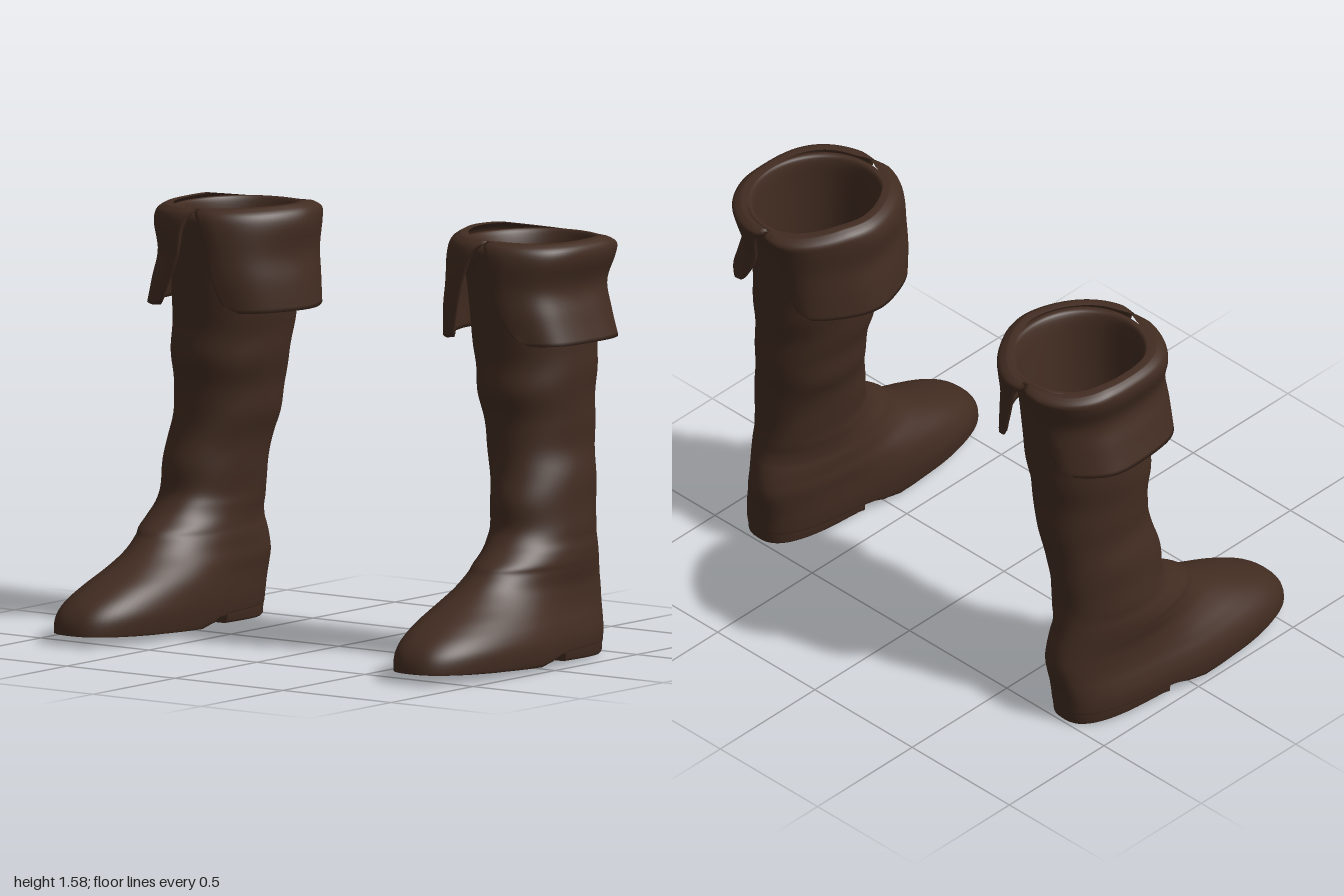
import * as THREE from 'three';
import { mergeVertices } from 'three/addons/utils/BufferGeometryUtils.js';

const leather = new THREE.MeshStandardMaterial({ color: 0x422c21 });
leather.name = 'dark brown leather';
const { smoothstep } = THREE.MathUtils;

// Cross-sections: [height, inner x, outer x, back z, front z, squareness]
const upperRows = [
  [0.00, 0.595, 0.975, -0.485, 0.595, 2.5],
  [0.04, 0.582, 0.990, -0.498, 0.608, 2.5],
  [0.10, 0.572, 0.995, -0.502, 0.592, 2.5],
  [0.15, 0.570, 0.985, -0.510, 0.545, 2.4],
  [0.20, 0.572, 0.965, -0.520, 0.455, 2.3],
  [0.25, 0.580, 0.945, -0.526, 0.340, 2.2],
  [0.30, 0.595, 0.932, -0.520, 0.240, 2.1],
  [0.35, 0.602, 0.935, -0.508, 0.165, 2],
  [0.38, 0.606, 0.938, -0.498, 0.135, 2],
  [0.42, 0.606, 0.936, -0.487, 0.075, 2],
  [0.46, 0.602, 0.930, -0.482, 0.030, 2],
  [0.51, 0.600, 0.930, -0.480, 0.000, 2],
  [0.60, 0.590, 0.925, -0.483, -0.008, 2],
  [0.70, 0.572, 0.920, -0.490, -0.035, 2],
  [0.80, 0.542, 0.905, -0.503, -0.050, 2],
  [0.90, 0.527, 0.908, -0.508, -0.050, 2],
  [1.00, 0.502, 0.915, -0.508, -0.032, 2],
  [1.10, 0.485, 0.918, -0.520, -0.042, 2],
  [1.20, 0.470, 0.918, -0.524, -0.035, 2],
  [1.40, 0.450, 0.920, -0.540, -0.020, 2],
  [1.50, 0.415, 0.935, -0.565, -0.008, 2],
];
// Rolled rim and the lining down to the insole
const liningRows = [
  [1.530, 0.405, 0.932, -0.575, -0.010, 2.1],
  [1.550, 0.425, 0.918, -0.560, -0.025, 2.1],
  [1.530, 0.450, 0.900, -0.542, -0.048, 2],
  [1.400, 0.475, 0.895, -0.520, -0.055, 2],
  [1.000, 0.527, 0.890, -0.485, -0.060, 2],
  [0.800, 0.567, 0.880, -0.480, -0.078, 2],
  [0.500, 0.625, 0.905, -0.457, -0.030, 2],
  [0.250, 0.612, 0.912, -0.495, 0.140, 2.2],
  [0.090, 0.622, 0.912, -0.480, 0.250, 2.6],
];
const cuffRows = [
  [1.195, 0.355, 0.985, -0.572, 0.030, 2.3],
  [1.300, 0.365, 0.952, -0.572, 0.040, 2.3],
  [1.400, 0.380, 0.925, -0.577, 0.040, 2.3],
  [1.500, 0.369, 0.957, -0.597, 0.036, 2.2],
  [1.550, 0.380, 0.955, -0.605, 0.020, 2.2],
  [1.573, 0.412, 0.928, -0.578, -0.008, 2.1],
];

// Smooth interpolation along a list of sections, f from 0 to 1
function sampleRows(rows, f) {
  const last = rows.length - 1;
  const i = Math.min(Math.floor(f * last), last - 1), t = f * last - i;
  const p0 = rows[Math.max(i - 1, 0)], p1 = rows[i], p2 = rows[i + 1], p3 = rows[Math.min(i + 2, last)];
  return p1.map((b, k) => {
    const m1 = (p2[k] - p0[k]) / 2, m2 = (p3[k] - b) / 2, d = p2[k] - b;
    return b + t * (m1 + t * (3 * d - 2 * m1 - m2 + t * (m1 + m2 - 2 * d)));
  });
}

// Point on a section at angle a (0 is front, a quarter turn is the outer side)
function ringPoint([y, x0, x1, zb, zf, n], a, inset = 0, scale = 1) {
  const bend = (v) => Math.sign(v) * Math.pow(Math.abs(v), 2 / n);
  const hx = ((x1 - x0) / 2 - inset) * scale, hz = ((zf - zb) / 2 - inset) * scale;
  return [(x0 + x1) / 2 + hx * bend(Math.sin(a)), y, (zb + zf) / 2 + hz * bend(Math.cos(a))];
}

// The foot is narrower at the heel than at the ball
function narrowHeel(p) {
  const s = 1 - 0.13 * smoothstep(0.1 - p[2], 0, 0.3) * (1 - smoothstep(p[1], 0.18, 0.35));
  p[0] = 0.77 + (p[0] - 0.77) * s;
  return p;
}

// Surface from a grid of points; side -1 mirrors it
function gridMesh(name, side, nu, nv, fn) {
  const pos = [], index = [];
  for (let j = 0; j <= nv; j++) {
    for (let i = 0; i <= nu; i++) {
      const [x, y, z] = fn(i, j);
      pos.push(x * side, y, z);
    }
  }
  for (let j = 0; j < nv; j++) {
    for (let i = 0; i < nu; i++) {
      const a = j * (nu + 1) + i, b = a + 1, d = a + nu + 1, c = d + 1;
      if (side > 0) index.push(a, b, c, a, c, d);
      else index.push(a, c, b, a, d, c);
    }
  }
  let geo = new THREE.BufferGeometry();
  geo.setAttribute('position', new THREE.Float32BufferAttribute(pos, 3));
  geo.setIndex(index);
  geo = mergeVertices(geo, 1e-5);
  geo.computeVertexNormals();
  const mesh = new THREE.Mesh(geo, leather);
  mesh.name = name;
  return mesh;
}

// Height of the underside: rising toe, low ball, raised arch
function soleHeight(z) {
  if (z > 0.05) return 0.02 + (z - 0.05) * 0.04;
  return 0.02 + 0.035 * smoothstep(0.05 - z, 0, 0.17);
}

function makeBoot(side) {
  const boot = new THREE.Group();
  boot.name = side > 0 ? 'leftBoot' : 'rightBoot';
  const N = 72, angle = (i) => ((i % N) / N) * Math.PI * 2;

  // Foot and shaft, with soft folds in the leather
  boot.add(gridMesh('footAndShaft', side, N, 100, (i, j) => {
    const row = sampleRows(upperRows, j / 100), a = angle(i), y = row[0];
    const fade = smoothstep(y, 0.3, 0.5) * (1 - smoothstep(y, 1.05, 1.3));
    const fold = 1 + 0.008 * fade * Math.sin(y * 30 + 2 * Math.sin(a) + 1.5 * Math.cos(2 * a));
    const p = narrowHeel(ringPoint(row, a, 0, fold));
    p[1] = Math.max(p[1], soleHeight(p[2]));
    return p;
  }));

  // Rim and lining
  const rimRows = [upperRows[upperRows.length - 1], ...liningRows];
  boot.add(gridMesh('lining', side, N, 54, (i, j) => narrowHeel(ringPoint(sampleRows(rimRows, j / 54), angle(i)))));
  boot.add(gridMesh('insole', side, N, 1, (i, j) =>
    narrowHeel(ringPoint(liningRows[liningRows.length - 1], angle(i), 0, 1 - j))));

  // Sole closes the underside
  boot.add(gridMesh('sole', side, N, 4, (i, j) => {
    const p = narrowHeel(ringPoint(upperRows[0], angle(i)));
    p[0] = 0.78 + (p[0] - 0.78) * j / 4;
    p[1] = soleHeight(p[2]);
    return p;
  }));

  // Low heel block with a straight front
  const heelPoint = (i, inset) => {
    const p = ringPoint(upperRows[1], angle(i), inset);
    p[2] = Math.min(p[2], -0.115);
    return narrowHeel(p);
  };
  const heelBase = (z) => 0.02 + (z + 0.115) * 0.045;
  boot.add(gridMesh('heelSide', side, N, 2, (i, j) => {
    const p = heelPoint(i, [0.012, 0.003, 0][j]);
    p[1] = j === 2 ? 0.057 : heelBase(p[2]) + 0.01 * j;
    return p;
  }));
  boot.add(gridMesh('heelBottom', side, N, 1, (i, j) => {
    const p = heelPoint(i, 0.012);
    p[0] = 0.77 + (p[0] - 0.77) * j;
    p[1] = heelBase(p[2]);
    return p;
  }));

  // Turned-down cuff: two flaps that meet at the top and part at the front and back
  const rowsOut = 24, nu = 48;
  for (let half = 0; half < 2; half++) {
    boot.add(gridMesh(half ? 'innerCuffFlap' : 'outerCuffFlap', side, nu, rowsOut * 2 + 2, (i, j) => {
      const inside = j > rowsOut && j < rowsOut * 2 + 2;
      const f = j <= rowsOut ? j / rowsOut : inside ? (rowsOut * 2 + 1 - j) / rowsOut : 0;
      const down = 1 - f, u = i / nu;
      const gap = 0.42 * Math.max(0, down - 0.15) + 0.12 * down ** 9;
      const a = half * Math.PI + gap + u * (Math.PI - 2 * gap);
      const edge = Math.min(1, Math.sin(u * Math.PI) * 5);
      const wave = 1 + 0.01 * down * Math.sin(7 * a + 1) * edge;
      const tuck = 0.014 * (1 - edge) * f;
      const row = sampleRows(cuffRows, f);
      row[5] += 0.35 * Math.sin(a);
      const p = ringPoint(row, a, tuck + (inside ? 0.028 * edge : 0), wave);
      // The rim dips towards the back and the outer side
      p[1] -= f * (0.03 * (p[0] - 0.66) + 0.16 * Math.max(0, -0.4 - p[2]));
      p[1] += 0.02 * (1 - edge) * down ** 8;
      return p;
    }));
  }
  return boot;
}

export function createModel() {
  const model = new THREE.Group();
  model.name = 'cuffedBoots';
  model.add(makeBoot(1), makeBoot(-1));
  return model;
}
